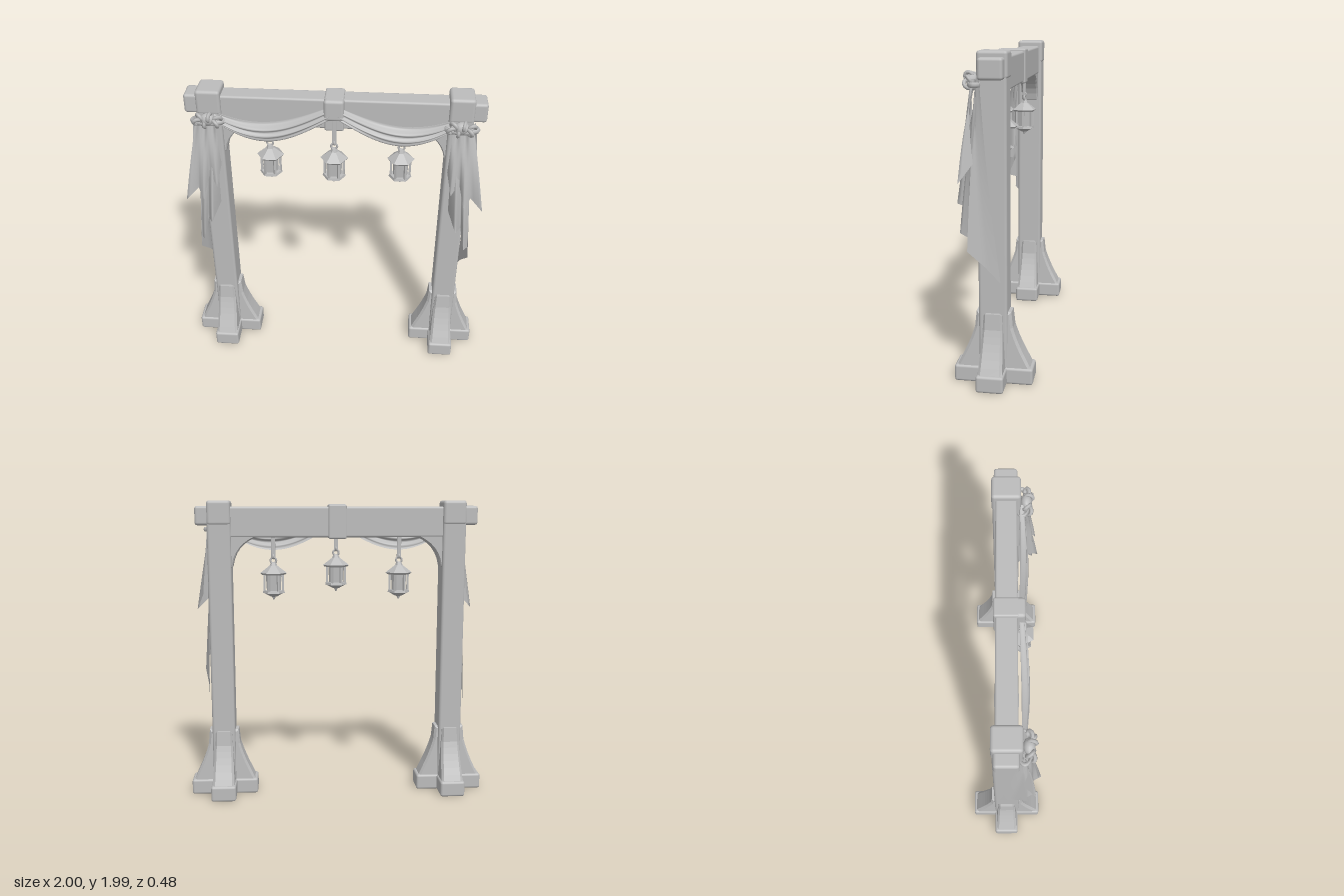
import * as THREE from 'three';
import { RoundedBoxGeometry } from 'three/addons/geometries/RoundedBoxGeometry.js';

const V = (x, y, z) => new THREE.Vector3(x, y, z);
const POST_X = 0.776;

export function createModel() {
  const stone = new THREE.MeshStandardMaterial({ color: 0xbcbcbc, side: THREE.DoubleSide });
  stone.name = 'plain grey';
  const root = new THREE.Group();
  root.name = 'lanternArch';

  const add = (parent, name, geo, x = 0, y = 0, z = 0) => {
    const m = new THREE.Mesh(geo, stone);
    m.name = name;
    m.position.set(x, y, z);
    parent.add(m);
    return m;
  };
  const group = (name, x = 0, y = 0, z = 0) => {
    const g = new THREE.Group();
    g.name = name;
    g.position.set(x, y, z);
    root.add(g);
    return g;
  };
  // Softly chamfered block given by its extents
  const block = (parent, name, x0, x1, y0, y1, z0, z1, r = 0.015) =>
    add(parent, name, new RoundedBoxGeometry(x1 - x0, y1 - y0, z1 - z0, 2, r),
      (x0 + x1) / 2, (y0 + y1) / 2, (z0 + z1) / 2);

  // Cloth sheet from a point rule f(u, v)
  const sheet = (f, nu, nv) => {
    const pos = [], idx = [];
    for (let j = 0; j <= nv; j++) for (let i = 0; i <= nu; i++) pos.push(...f(i / nu, j / nv).toArray());
    for (let j = 0; j < nv; j++) for (let i = 0; i < nu; i++) {
      const a = j * (nu + 1) + i, b = a + nu + 1;
      idx.push(a, b, a + 1, b, b + 1, a + 1);
    }
    const g = new THREE.BufferGeometry();
    g.setAttribute('position', new THREE.Float32BufferAttribute(pos, 3));
    g.setIndex(idx);
    g.computeVertexNormals();
    return g;
  };

  // Curved buttress fin, used four times around each post
  const fin = new THREE.Shape();
  fin.moveTo(0, 0.09);
  fin.lineTo(0.2, 0.09);
  fin.quadraticCurveTo(0.125, 0.23, 0.093, 0.35);
  fin.lineTo(0.085, 0.435);
  fin.lineTo(0, 0.435);
  const finGeo = new THREE.ExtrudeGeometry(fin, {
    depth: 0.1, bevelEnabled: true, bevelSize: 0.014, bevelThickness: 0.014, bevelSegments: 1, curveSegments: 6,
  });
  finGeo.translate(0, 0, -0.05);
  // Fins narrow toward the top
  const fp = finGeo.attributes.position;
  for (let i = 0; i < fp.count; i++) fp.setZ(i, fp.getZ(i) * (1.15 - 0.8 * (fp.getY(i) - 0.09)));
  finGeo.computeVertexNormals();

  // Hems of the two hanging layers: outward offset, height, depth
  const shortHem = [[-0.06, 1.5, 0.12], [-0.03, 1.36, 0.18], [0.02, 1.43, 0.14], [0.06, 1.27, 0.2],
    [0.1, 1.33, 0.15], [0.18, 1.25, 0.18], [0.13, 1.36, 0.1]];
  const longHem = [[-0.03, 1.2, 0.11], [0.02, 1.1, 0.22], [0.06, 1.08, 0.13], [0.09, 0.94, 0.19],
    [0.12, 0.92, 0.13], [0.13, 0.84, 0.14], [0.1, 0.74, 0.04], [0.09, 0.64, -0.05]];

  for (const s of [1, -1]) {
    const side = s > 0 ? 'left' : 'right';
    const post = group(side + 'Post', s * POST_X);
    block(post, 'shaft', -0.077, 0.077, 0.05, 1.9, -0.085, 0.088, 0.018);
    block(post, 'cap', -0.077, 0.077, 1.83, 1.99, -0.09, 0.09, 0.02);
    block(post, 'footAcross', -0.224, 0.224, 0, 0.105, -0.083, 0.083, 0.016);
    block(post, 'footAlong', -0.083, 0.083, 0, 0.105, -0.24, 0.24, 0.016);
    for (let k = 0; k < 4; k++) {
      const f = add(post, 'buttress', finGeo);
      f.rotation.y = k * Math.PI / 2;
      if (k % 2) f.scale.x = 1.08;
    }
    block(post, 'beamEnd', s > 0 ? 0.04 : -0.155, s > 0 ? 0.155 : -0.04, 1.83, 1.955, -0.075, 0.07, 0.018);

    // Curved corner brace under the beam
    const br = new THREE.Shape();
    br.moveTo(s * 0.73, 1.54);
    br.lineTo(s * 0.7, 1.56);
    br.quadraticCurveTo(s * 0.68, 1.7, s * 0.54, 1.76);
    br.lineTo(s * 0.54, 1.8);
    br.lineTo(s * 0.73, 1.8);
    add(root, side + 'Brace', new THREE.ExtrudeGeometry(br, {
      depth: 0.1, bevelEnabled: true, bevelSize: 0.008, bevelThickness: 0.01, bevelSegments: 1, curveSegments: 6,
    }), 0, 0, -0.05);

    // Hanging drape: pleats fan from the knot down to a stepped hem
    const drape = group(side + 'Drape', s * POST_X);
    [[longHem, 0.1, 'longLayer'], [shortHem, 0.125, 'shortLayer']].forEach(([hem, z0, name]) => {
      const n = hem.length - 1;
      add(drape, name, sheet((u, t) => {
        const k = Math.min(n - 1, Math.floor(u * n)), a = u * n - k;
        const h = hem[k].map((c, i) => c + (hem[k + 1][i] - c) * a);
        const top = [-0.05 + 0.14 * u, 1.83, z0 - 0.02 * u + 0.012 * Math.cos(u * n * Math.PI)];
        const spread = Math.pow(t, 0.85);
        return V(s * (top[0] + (h[0] - top[0]) * spread), top[1] + (h[1] - top[1]) * t,
          top[2] + (h[2] - top[2]) * t + 0.012 * Math.sin(t * Math.PI));
      }, n * 4, 14));
    });

    // Gathered knot with ruffled loops
    const knot = add(drape, 'knot', new THREE.SphereGeometry(0.045, 10, 8), 0, 1.82, 0.125);
    knot.scale.set(1.1, 0.9, 0.8);
    for (let i = 0; i < 6; i++) {
      const a = i * Math.PI / 3 + 0.3;
      const loop = add(drape, 'ruffle', new THREE.TorusGeometry(0.024, 0.012, 6, 10),
        Math.cos(a) * 0.065, 1.818 + Math.sin(a) * 0.025, 0.13 + (i % 2) * 0.012);
      loop.rotation.set(0.6, a, a);
    }
    const band = add(drape, 'tieBand', new THREE.TorusGeometry(0.088, 0.013, 6, 20), s * 0.005, 1.8, 0.1);
    band.rotation.x = Math.PI / 2;
    band.scale.set(1.1, 0.5, 1.3);

    // Swag slung between the post and the middle clasp
    add(root, side + 'Swag', sheet((u, v) => {
      const x = 0.74 - 0.72 * u;
      const sag = Math.sin(Math.PI * Math.pow(u, 0.9));
      const top = 1.855 + 0.055 * u - 0.085 * sag;
      const low = 1.79 + 0.035 * u - 0.145 * sag;
      const bulge = Math.sin(Math.PI * Math.min(1, v * 0.85 + 0.05));
      const fold = 0.011 * Math.cos(v * Math.PI * 6 + u * 2);
      const z = 0.072 + (0.03 + 0.025 * sag) * bulge + fold * (0.5 + 0.5 * bulge);
      return V(s * x, top + (low - top) * v, z);
    }, 28, 18));
  }

  // Cross beam with its middle clasp
  block(root, 'beam', -0.75, 0.75, 1.75, 1.95, -0.065, 0.065, 0.014);
  block(root, 'claspBand', -0.06, 0.06, 1.74, 1.965, -0.076, 0.076, 0.012);
  block(root, 'claspFront', -0.062, 0.062, 1.825, 1.965, 0.04, 0.112, 0.02);

  // Six-sided lantern; local y = 0 is the top of the roof
  const lantern = (name, x, y, z, strapTop) => {
    const g = group(name, x, y, z);
    const len = strapTop - y - 0.035;
    block(g, 'strap', -0.014, 0.014, 0.035, 0.035 + len, -0.009, 0.009, 0.004);
    add(g, 'ring', new THREE.TorusGeometry(0.019, 0.007, 6, 14), 0, 0.022, 0);
    const link = add(g, 'link', new THREE.TorusGeometry(0.013, 0.006, 6, 12), 0, 0.048, 0);
    link.rotation.y = Math.PI / 2;
    const hex = (part, rt, rb, h, cy) => {
      const geo = new THREE.CylinderGeometry(rt, rb, h, 6).toNonIndexed();
      geo.computeVertexNormals();
      const m = add(g, part, geo, 0, cy, 0);
      m.rotation.y = Math.PI / 2;
    };
    hex('finial', 0.018, 0.026, 0.02, -0.003);
    hex('roof', 0.024, 0.088, 0.05, -0.036);
    hex('eave', 0.088, 0.078, 0.012, -0.067);
    hex('glass', 0.052, 0.046, 0.115, -0.128);
    hex('tray', 0.07, 0.074, 0.016, -0.187);
    hex('bowl', 0.07, 0.02, 0.026, -0.207);
    hex('tip', 0.014, 0.004, 0.022, -0.229);
    for (let i = 0; i < 6; i++) {
      const a = i * Math.PI / 3;
      const bar = add(g, 'cornerBar', new THREE.BoxGeometry(0.014, 0.12, 0.014),
        Math.cos(a) * 0.061, -0.129, Math.sin(a) * 0.061);
      bar.rotation.y = -a;
    }
  };
  lantern('middleLantern', 0.002, 1.62, 0.09, 1.84);
  lantern('rightLantern', -0.417, 1.575, 0, 1.76);
  lantern('leftLantern', 0.425, 1.575, 0, 1.76);

  return root;
}
